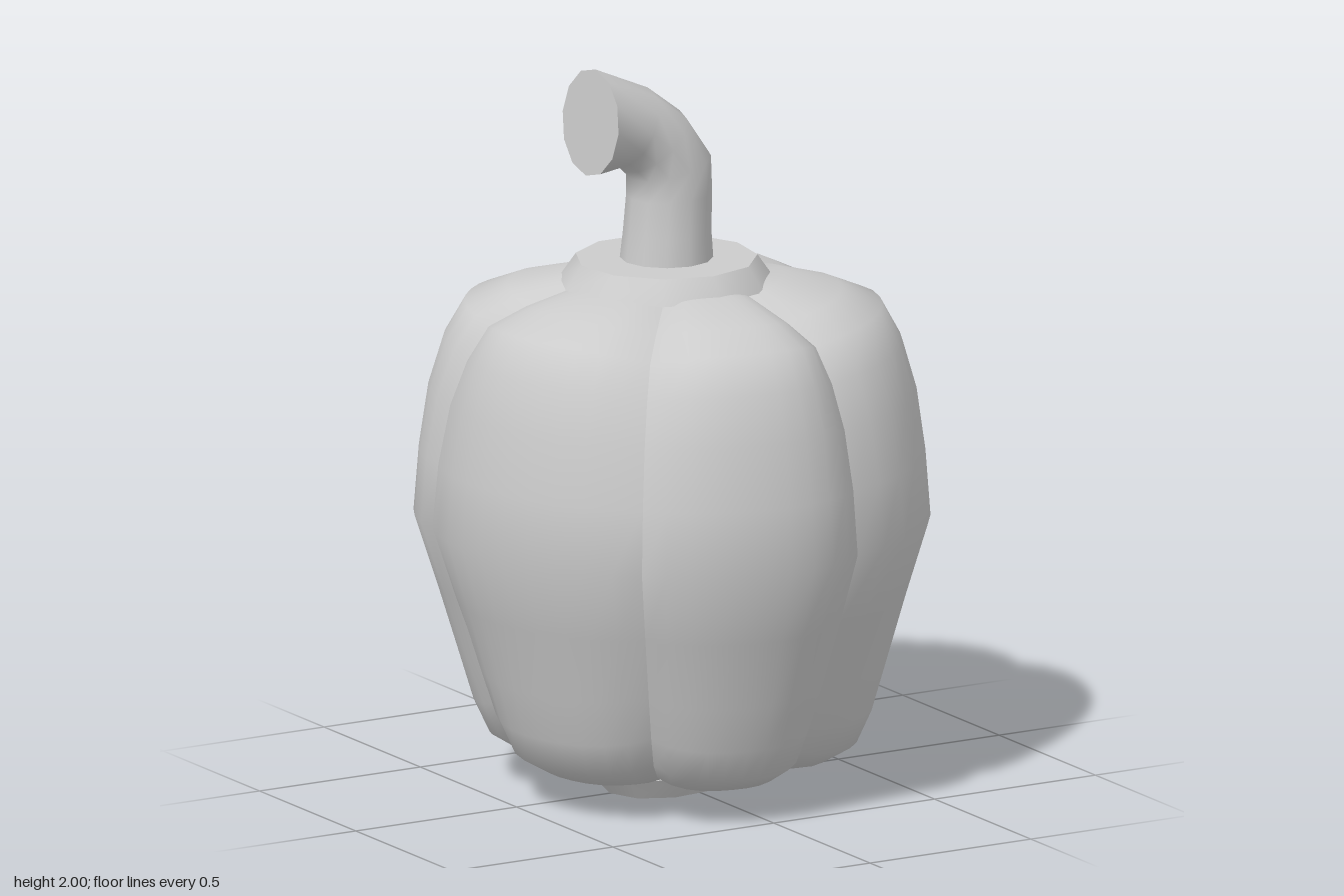
import * as THREE from 'three';
import { toCreasedNormals } from 'three/addons/utils/BufferGeometryUtils.js';

const material = new THREE.MeshStandardMaterial({ color: 0xcccccc });
const STEM_X = -0.035; // stem and calyx axis

// Surface from a rule point(i, j): i runs around, j runs upward / along.
function gridSurface(nu, nv, point) {
  const positions = [], index = [];
  for (let j = 0; j <= nv; j++) {
    for (let i = 0; i <= nu; i++) positions.push(...point(i, j));
  }
  for (let j = 0; j < nv; j++) {
    for (let i = 0; i < nu; i++) {
      const a = j * (nu + 1) + i, b = a + nu + 1;
      index.push(a, b, a + 1, a + 1, b, b + 1);
    }
  }
  const geometry = new THREE.BufferGeometry();
  geometry.setAttribute('position', new THREE.Float32BufferAttribute(positions, 3));
  geometry.setIndex(index);
  geometry.computeVertexNormals();
  return geometry;
}

function addMesh(group, name, geometry) {
  const mesh = new THREE.Mesh(geometry, material);
  mesh.name = name;
  group.add(mesh);
  return mesh;
}

// Lobe profile from base to crown: [radius relative to widest, height]
const PROFILE = [
  [0, 0.1], [0.25, 0.08], [0.45, 0.065], [0.6, 0.085], [0.715, 0.13], [0.775, 0.22],
  [0.83, 0.35], [0.91, 0.54], [1, 0.74], [0.98, 0.92], [0.945, 1.09], [0.89, 1.22],
  [0.81, 1.32], [0.65, 1.365], [0.42, 1.405], [0, 1.41],
];

// Creases: [angle from +x toward +z in degrees, widest radius there]
const CREASES = [[-12, 0.668], [73, 0.648], [129, 0.672], [199, 0.668], [257, 0.685], [348, 0.668]];
// Widest radius in the middle of each lobe
const LOBE_RADII = [0.675, 0.71, 0.685, 0.71, 0.704];

// One lobe between two creases; it sinks to the shared crease line on each side.
function lobeGeometry([start, startRadius], [end, endRadius], radius) {
  const steps = 10;
  return gridSurface(steps, PROFILE.length - 1, (i, j) => {
    const [r, y] = PROFILE[j];
    const u = (2 * i) / steps - 1;
    const edge = Math.abs(u) ** 3;
    const endness = Math.min(1, Math.abs(y - 0.75) / 0.6) ** 2;
    const widest = THREE.MathUtils.lerp(radius, u < 0 ? startRadius : endRadius, edge);
    const rr = r * widest * (1 - 0.06 * edge * endness);
    const yy = y - Math.sign(y - 0.75) * edge * endness * 0.045 * r;
    const angle = THREE.MathUtils.degToRad(start + ((end - start) * i) / steps);
    return [rr * Math.cos(angle), yy, rr * Math.sin(angle)];
  });
}

// Bent stem, stations: [x, y, tangent angle in degrees, radius]
const STEM = [
  [-0.035, 1.42, 90, 0.128], [-0.032, 1.53, 90, 0.118], [-0.026, 1.63, 92, 0.115],
  [-0.028, 1.71, 104, 0.116], [-0.08, 1.78, 130, 0.114], [-0.14, 1.828, 155, 0.112],
  [-0.27, 1.856, 174, 0.145], [-0.27, 1.856, 174, 0],
];

function stemGeometry() {
  const sides = 12;
  const geometry = gridSurface(sides, STEM.length - 1, (i, j) => {
    const [x, y, degrees, r] = STEM[j];
    const t = THREE.MathUtils.degToRad(degrees);
    const a = (i / sides) * Math.PI * 2;
    const across = r * Math.cos(a);
    return [x + across * Math.sin(t), y - across * Math.cos(t), r * Math.sin(a)];
  });
  return toCreasedNormals(geometry, Math.PI / 3);
}

export function createModel() {
  const model = new THREE.Group();
  model.name = 'bellPepper';

  // Five uneven lobes meeting at the creases
  const body = new THREE.Group();
  body.name = 'body';
  LOBE_RADII.forEach((radius, k) => {
    addMesh(body, `lobe${k + 1}`, lobeGeometry(CREASES[k], CREASES[k + 1], radius));
  });
  model.add(body);

  // Calyx disc under the stem
  const calyx = addMesh(model, 'calyx',
    toCreasedNormals(new THREE.CylinderGeometry(0.245, 0.29, 0.065, 11), Math.PI / 5));
  calyx.position.set(STEM_X, 1.423, 0);

  addMesh(model, 'stem', stemGeometry());

  // Slightly tilted blossom end underneath
  const tip = addMesh(model, 'blossomEnd',
    toCreasedNormals(new THREE.CylinderGeometry(0.235, 0.2, 0.06, 12), Math.PI / 5));
  tip.position.set(-0.015, 0.057, 0);
  tip.rotation.z = 0.13;

  return model;
}
